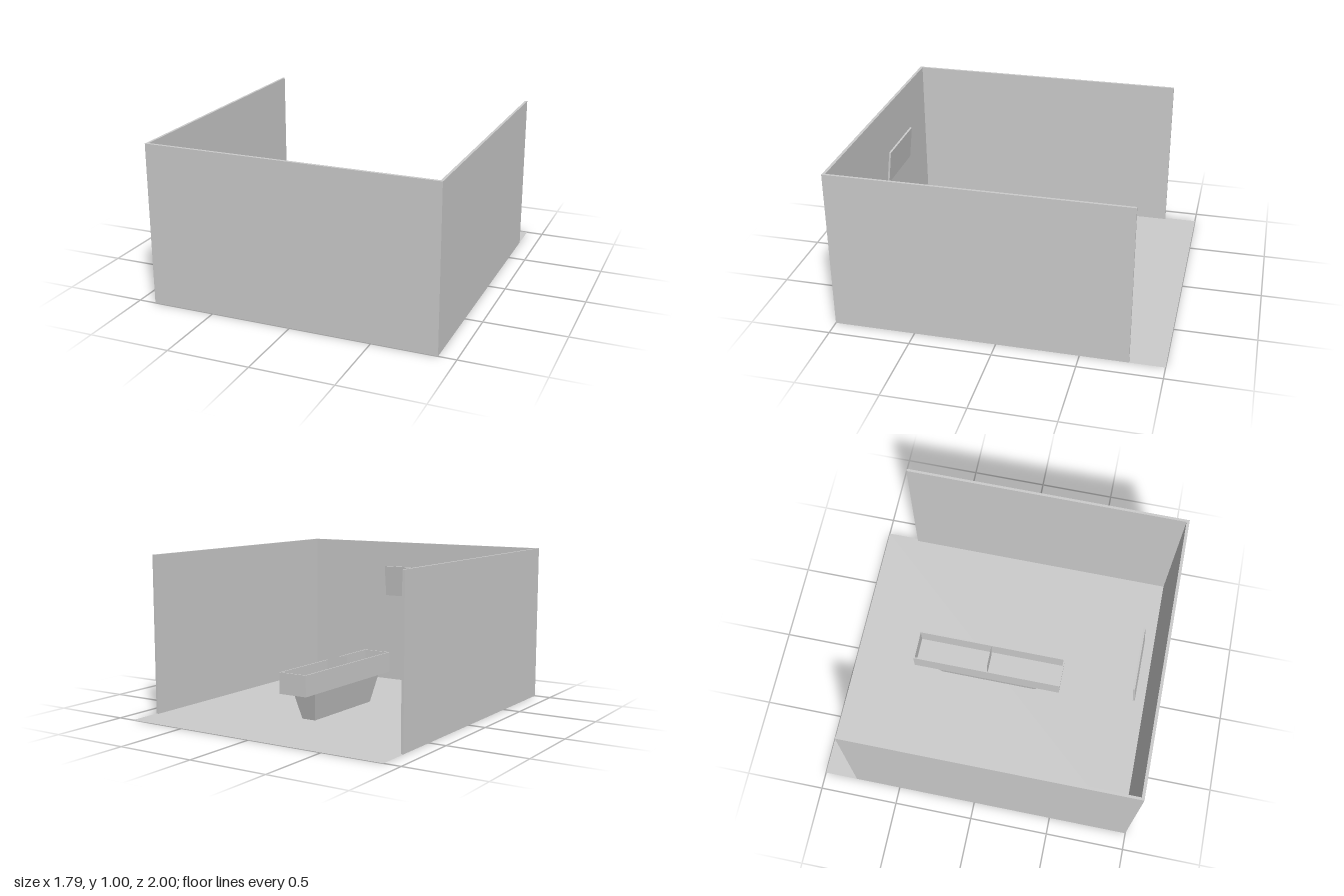
import * as THREE from 'three';

export function createModel() {
  const model = new THREE.Group();
  const material = new THREE.MeshStandardMaterial({ color: 0xcccccc, flatShading: true });
  const sheet = new THREE.MeshStandardMaterial({ color: 0xcccccc, side: THREE.DoubleSide });

  const add = (name, geometry, mat = material, parent = model) => {
    const mesh = new THREE.Mesh(geometry, mat);
    mesh.name = name;
    parent.add(mesh);
    return mesh;
  };
  // Box given by its lower and upper corners
  const box = (x0, y0, z0, x1, y1, z1) =>
    new THREE.BoxGeometry(x1 - x0, y1 - y0, z1 - z0)
      .translate((x0 + x1) / 2, (y0 + y1) / 2, (z0 + z1) / 2);

  // Room: thin floor, front wall and two side walls, open at the back
  const W = 0.893;
  add('floor', new THREE.PlaneGeometry(2 * W, 2).rotateX(-Math.PI / 2), sheet);
  add('frontWall', box(-W, 0, 0.982, W, 1, 1));
  add('leftWall', box(W - 0.016, 0, -0.79, W, 1, 0.982));
  add('rightWall', box(-W, 0, -0.79, -W + 0.016, 1, 0.982));

  // Wall panel, its top leaning into the room
  const panel = add('wallPanel', new THREE.BoxGeometry(0.405, 0.21, 0.012));
  panel.position.set(0, 0.735, 0.859);
  panel.rotation.x = -0.11;

  // Long trough on a tapered pedestal
  const counter = new THREE.Group();
  counter.name = 'counter';
  counter.position.set(-0.002, 0, -0.083);
  model.add(counter);

  const hx = 0.097, hz = 0.488, t = 0.008, bottom = 0.18, rim = 0.312;
  const rect = (Type, a, b) => new Type([
    new THREE.Vector2(-a, -b), new THREE.Vector2(a, -b),
    new THREE.Vector2(a, b), new THREE.Vector2(-a, b),
  ]);
  const outline = rect(THREE.Shape, hx, hz);
  outline.holes.push(rect(THREE.Path, hx - t, hz - t));
  add('troughWalls',
    new THREE.ExtrudeGeometry(outline, { depth: rim - bottom, bevelEnabled: false })
      .rotateX(-Math.PI / 2).translate(0, bottom, 0), material, counter);
  add('troughBottom',
    box(-hx + t, bottom, -hz + t, hx - t, bottom + 0.01, hz - t), material, counter);

  // Upright sheet across the middle of the trough
  add('dividerSheet',
    new THREE.PlaneGeometry(0.147, 0.157).translate(0, 0.269, 0), sheet, counter);

  // Pedestal widens towards the trough
  const pedestal = new THREE.BoxGeometry(0.094, bottom, 0.64).translate(0, bottom / 2, 0);
  const p = pedestal.attributes.position;
  for (let i = 0; i < p.count; i++) {
    if (p.getY(i) > bottom / 2) {
      p.setX(i, Math.sign(p.getX(i)) * 0.082);
      p.setZ(i, Math.sign(p.getZ(i)) * 0.37);
    }
  }
  pedestal.computeVertexNormals();
  add('pedestal', pedestal, material, counter);

  return model;
}
